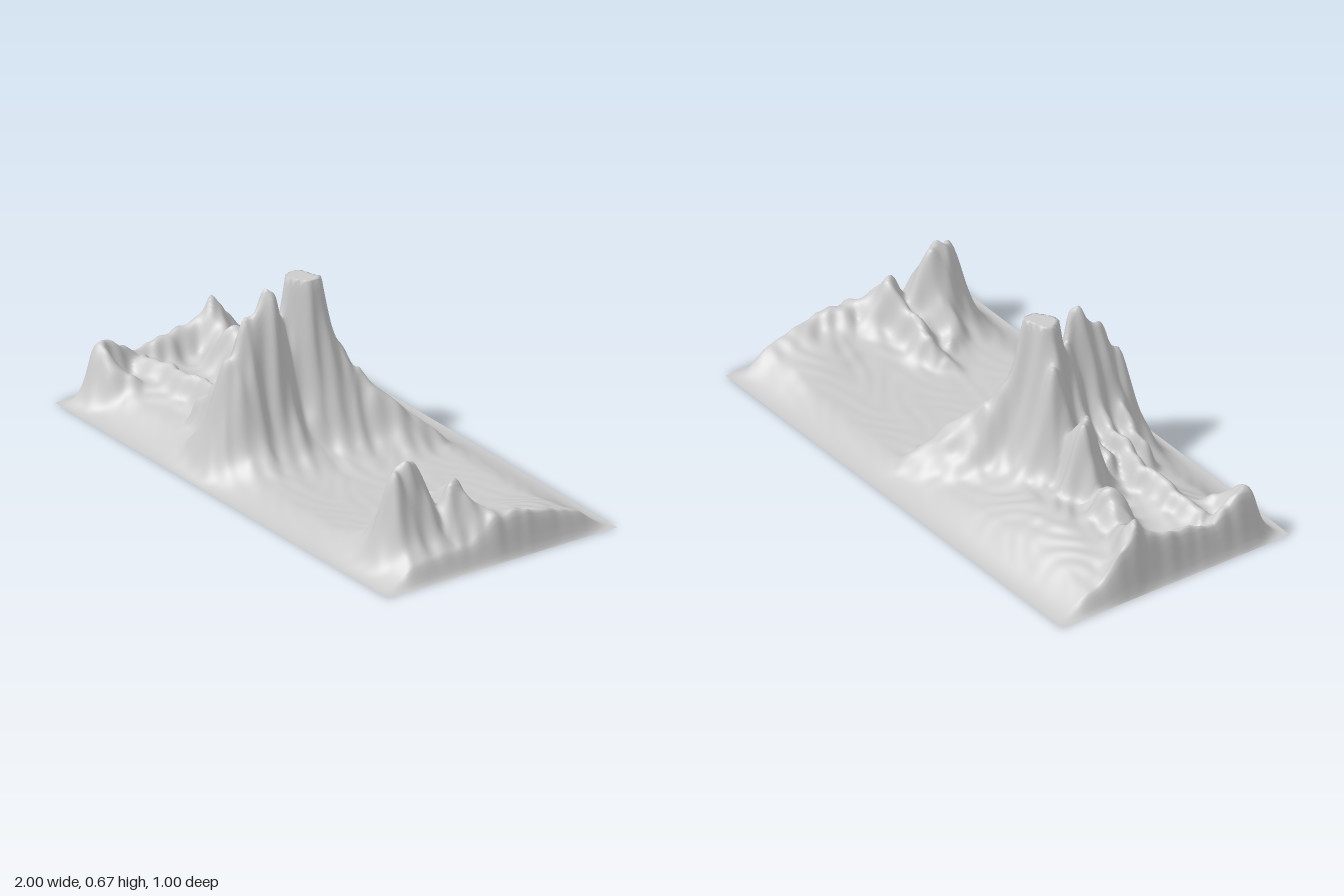
import * as THREE from 'three';

// Crest lines: half-width w and a few points [x, z, height]
const crests = [
  // high southern ridge with the main summit
  { w: 0.088, pts: [[-0.185, 0.02, 0.8], [-0.185, 0.095, 0.36], [-0.18, 0.17, 0.63], [-0.18, 0.25, 0.53], [-0.2, 0.33, 0.43], [-0.2, 0.385, 0.27]] },
  // shoulder falling to the back
  { w: 0.085, pts: [[-0.185, 0.02, 0.6], [-0.06, -0.13, 0.32], [0.14, -0.38, 0.04]] },
  // western ridge
  { w: 0.075, pts: [[-0.2, 0, 0.6], [-0.31, -0.01, 0.55], [-0.39, -0.01, 0.31], [-0.48, -0.01, 0.41], [-0.58, -0.03, 0.18],
    [-0.7, -0.06, 0.26], [-0.8, -0.09, 0.17], [-0.92, -0.135, 0.24], [-0.97, -0.2, 0.19]] },
  // low western spine
  { w: 0.05, pts: [[-0.4, 0.19, 0.2], [-0.88, 0.2, 0.14]] },
  // front western peak and its rim
  { w: 0.065, pts: [[-0.8, 0.32, 0.13], [-0.92, 0.375, 0.25], [-0.96, 0.2, 0.14], [-0.92, -0.135, 0.2]] },
  // eastern ridge
  { w: 0.085, pts: [[0.78, 0.3, 0.36], [0.785, 0.235, 0.35], [0.82, 0.15, 0.18], [0.83, 0.08, 0.25], [0.9, 0, 0.17], [0.95, -0.13, 0.15], [0.96, -0.4, 0.08]] },
  // eastern spurs
  { w: 0.05, pts: [[0.54, 0.12, 0.08], [0.61, 0.1, 0.15], [0.83, 0.08, 0.24]] },
  { w: 0.05, pts: [[0.6, 0.21, 0.1], [0.78, 0.25, 0.3]] },
];

// Spurs running west from the southern ridge
for (let i = 0; i < 3; i++) {
  const z = 0.1 + 0.08 * i;
  crests.push({ w: 0.045, pts: [[-0.2, z, 0.46], [-0.29, z + 0.015, 0.29], [-0.42, z + 0.02, 0.18]] });
}

// Broad swells: [x, z, radius x, radius z, height]
const swells = [
  [-0.62, -0.2, 0.4, 0.19, 0.11], [-0.75, 0.2, 0.35, 0.17, 0.075], [-0.22, 0.15, 0.16, 0.25, 0.1],
  [0.78, 0.2, 0.17, 0.2, 0.09], [0.86, -0.2, 0.17, 0.22, 0.065],
];

// Height of one crest: tallest bell profile over its segments
function crestHeight({ w, pts }, x, z) {
  let best = 0;
  for (let i = 1; i < pts.length; i++) {
    const [ax, az, ah] = pts[i - 1], [bx, bz, bh] = pts[i];
    const dx = bx - ax, dz = bz - az;
    const t = THREE.MathUtils.clamp(((x - ax) * dx + (z - az) * dz) / (dx * dx + dz * dz), 0, 1);
    const d = Math.hypot(x - ax - t * dx, z - az - t * dz);
    best = Math.max(best, (ah + (bh - ah) * t) / (1 + (d / w) ** 2.3));
  }
  return best;
}

function terrainHeight(x, z) {
  // ripples bend the crests into gullies and ribs
  const u = x + 0.008 * Math.sin(38 * z + 5 * x) + 0.004 * Math.sin(83 * z - 21 * x);
  const v = z + 0.008 * Math.sin(34 * x + 7 * z) + 0.004 * Math.sin(71 * x + 19 * z);
  let base = 0.032;
  for (const [cx, cz, rx, rz, h] of swells) base += h * Math.exp(-(((x - cx) / rx) ** 2) - ((z - cz) / rz) ** 2);
  // smooth maximum of the swells and all crests
  let sum = base ** 4;
  for (const c of crests) sum += crestHeight(c, u, v) ** 4;
  const ribs = 1 + 0.035 * Math.sin(45 * x + 3 * Math.sin(23 * z)) * Math.sin(39 * z + 2 * Math.sin(17 * x));
  // borders sink to the ground, summit is cut flat
  const edge = THREE.MathUtils.smoothstep(0.5 - Math.abs(z), 0, 0.16) * THREE.MathUtils.smoothstep(1 - Math.abs(x), 0, 0.05);
  return Math.min(sum ** 0.25 * ribs * edge, 0.67);
}

export function createModel() {
  const group = new THREE.Group();
  group.name = 'mountainLandscape';
  const geometry = new THREE.PlaneGeometry(2, 1, 240, 120).rotateX(-Math.PI / 2);
  const p = geometry.attributes.position;
  for (let i = 0; i < p.count; i++) p.setY(i, terrainHeight(p.getX(i), p.getZ(i)));
  geometry.computeVertexNormals();
  const terrain = new THREE.Mesh(geometry, new THREE.MeshStandardMaterial({ color: 0xcccccc, side: THREE.DoubleSide }));
  terrain.name = 'terrain';
  group.add(terrain);
  return group;
}
